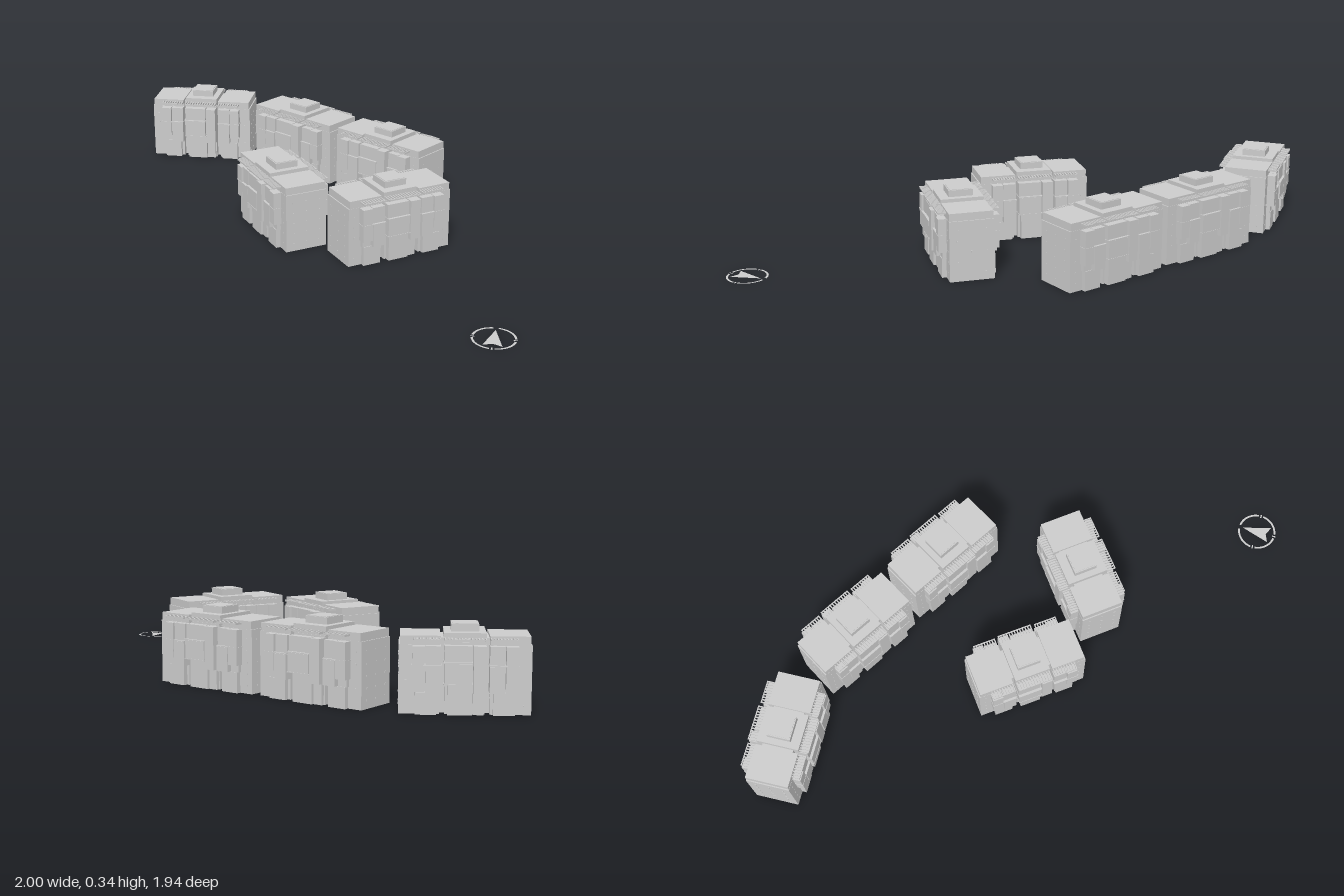
import * as THREE from 'three';

const mat = new THREE.MeshStandardMaterial({ color: 0xcccccc, flatShading: true });
const flatMat = new THREE.MeshStandardMaterial({ color: 0xcccccc, side: THREE.DoubleSide });
const unit = new THREE.BoxGeometry(1, 1, 1);

// box given by its min and max along x, y and z
function box(parent, name, x0, x1, y0, y1, z0, z1) {
  const m = new THREE.Mesh(unit, mat);
  m.name = name;
  m.scale.set(x1 - x0, y1 - y0, z1 - z0);
  m.position.set((x0 + x1) / 2, (y0 + y1) / 2, (z0 + z1) / 2);
  parent.add(m);
  return m;
}

// slatted canopy over a bay: two rails and a row of cross beams
function canopy(parent, x0, x1, z0, z1, count) {
  const g = new THREE.Group();
  g.name = 'canopy';
  box(g, 'outerRail', x0, x1, 0.281, 0.287, z1 - 0.004, z1);
  box(g, 'innerRail', x0, x1, 0.281, 0.287, z0, z0 + 0.004);
  for (let i = 0; i < count; i++) {
    const x = x0 + ((x1 - x0 - 0.005) * i) / (count - 1);
    box(g, 'slat', x, x + 0.005, 0.28, 0.288, z0, z1);
  }
  parent.add(g);
}

// one long facade, facing +z
function facade() {
  const g = new THREE.Group();
  g.name = 'facade';
  for (const s of [-1, 1]) {
    // span measured outward from the middle of the facade
    const part = (name, a, b, y0, y1, z1) =>
      box(g, name, Math.min(s * a, s * b), Math.max(s * a, s * b), y0, y1, 0.06, z1);
    part('upperBay', 0.09, 0.147, 0.19, 0.26, 0.122);
    part('middleBay', 0.09, 0.147, 0.085, 0.185, 0.13);
    part('cornerBay', 0.15, 0.196, 0.115, 0.26, 0.13);
    part('cornerLoggia', 0.15, 0.19, 0.085, 0.115, 0.112);
    part('groundBay', 0.105, 0.185, 0, 0.085, 0.115);
    part('balconySlab', 0.088, 0.198, 0.186, 0.19, 0.132);
    const [a, b] = s < 0 ? [-0.193, -0.092] : [0.092, 0.193];
    canopy(g, a, b, 0.09, 0.13, 9);
  }
  // stepped central bay
  box(g, 'centreUpperBay', -0.077, 0.025, 0.2, 0.262, 0.06, 0.126);
  box(g, 'centreMainBay', -0.077, 0.025, 0.12, 0.196, 0.06, 0.135);
  box(g, 'centreSideBay', 0.03, 0.077, 0.085, 0.262, 0.06, 0.135);
  box(g, 'centreLowerBay', -0.065, 0.028, 0, 0.116, 0.06, 0.118);
  box(g, 'centreEntrance', 0.03, 0.07, 0, 0.085, 0.06, 0.108);
  for (const y of [0.117, 0.197]) box(g, 'balconySlab', -0.079, 0.028, y, y + 0.004, 0.06, 0.137);
  canopy(g, -0.077, 0.077, 0.09, 0.135, 13);
  // narrow openings beside the corners
  for (const x of [-0.223, 0.217]) {
    for (let r = 0; r < 5; r++) box(g, 'window', x, x + 0.006, 0.03 + r * 0.047, 0.036 + r * 0.047, 0.094, 0.0965);
  }
  return g;
}

function building() {
  const g = new THREE.Group();
  g.name = 'building';
  box(g, 'core', -0.1, 0.1, 0, 0.285, -0.068, 0.068);
  box(g, 'centreBlock', -0.075, 0.075, 0, 0.27, -0.095, 0.095);
  box(g, 'centreRoof', -0.079, 0.079, 0.27, 0.306, -0.093, 0.093);
  box(g, 'liftHouse', -0.052, 0.052, 0.306, 0.334, -0.052, 0.052);
  box(g, 'liftHouseCap', -0.047, 0.047, 0.334, 0.336, -0.047, 0.047);
  for (const s of [-1, 1]) {
    const span = (a, b) => [Math.min(s * a, s * b), Math.max(s * a, s * b)];
    box(g, 'wing', ...span(0.093, 0.247), 0, 0.262, -0.095, 0.095);
    box(g, 'wingRoof', ...span(0.091, 0.242), 0.262, 0.295, -0.094, 0.094);
    // gable openings in three columns
    for (const z of [-0.06, 0, 0.06]) {
      for (let r = 0; r < 5; r++) {
        const y = 0.03 + r * 0.047;
        box(g, 'gableWindow', ...span(0.246, 0.2485), y, y + 0.007, z - 0.004, z + 0.004);
      }
    }
  }
  const front = facade();
  const back = facade();
  back.rotation.y = Math.PI;
  g.add(front, back);
  return g;
}

// flat direction marker on the ground
function compass() {
  const g = new THREE.Group();
  g.name = 'directionMarker';
  const flat = (name, geo) => {
    const m = new THREE.Mesh(geo, flatMat);
    m.name = name;
    m.rotation.x = -Math.PI / 2;
    m.position.y = 0.001;
    g.add(m);
  };
  for (let i = 0; i < 4; i++) {
    const a = (i * Math.PI) / 2;
    flat('ringArc', new THREE.RingGeometry(0.079, 0.088, 20, 1, a + 0.12, Math.PI / 2 - 0.24));
    if (i !== 1) flat('tick', new THREE.RingGeometry(0.074, 0.091, 2, 1, a - 0.035, 0.07));
  }
  const arrow = new THREE.Shape();
  arrow.moveTo(0, 0.068);
  arrow.lineTo(-0.038, -0.06);
  arrow.lineTo(0, -0.044);
  arrow.lineTo(0.038, -0.06);
  flat('arrow', new THREE.ShapeGeometry(arrow));
  return g;
}

export function createModel() {
  const model = new THREE.Group();
  model.name = 'housingEstate';
  // x, z and turn in degrees of each block
  const sites = [
    [-0.748, -0.826, 4.5],
    [-0.198, -0.709, -29],
    [0.27, -0.46, -29],
    [-0.123, 0.056, -51],
    [0.375, 0.158, 40],
  ];
  for (const [x, z, deg] of sites) {
    const b = building();
    b.position.set(x, 0, z);
    b.rotation.y = THREE.MathUtils.degToRad(deg);
    model.add(b);
  }
  const marker = compass();
  marker.position.set(0.909, 0, 0.877);
  model.add(marker);
  return model;
}
